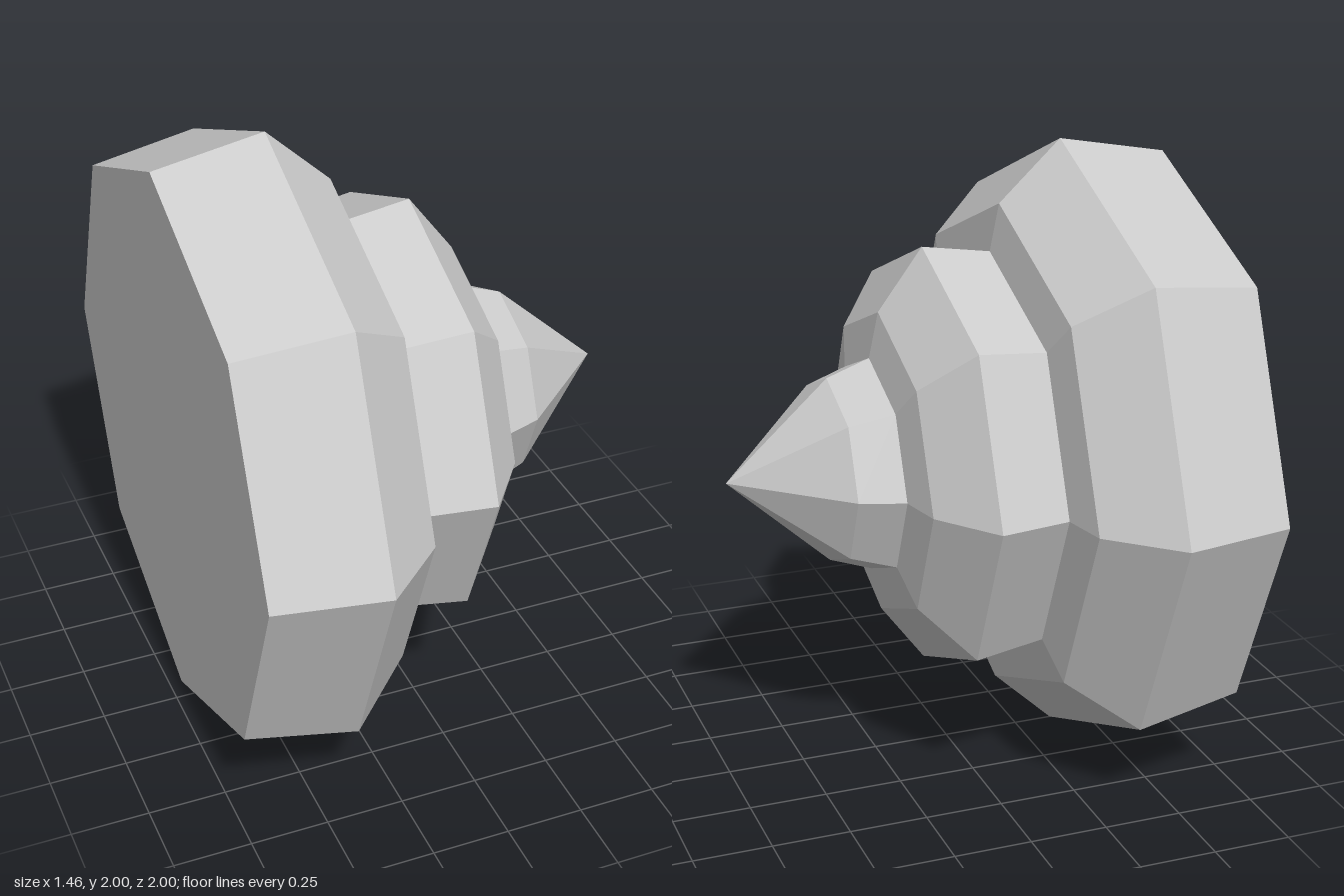
import * as THREE from 'three';

const SIDES = 8;

// Eight-sided faceted shell turned around the x axis; profile is [x, radius] pairs
function tier(name, profile, material) {
  const points = profile.map(([x, r]) => new THREE.Vector2(r, x));
  const geometry = new THREE.LatheGeometry(points, SIDES);
  geometry.rotateZ(-Math.PI / 2); // lathe axis y -> x
  const mesh = new THREE.Mesh(geometry, material);
  mesh.name = name;
  return mesh;
}

export function createModel() {
  const material = new THREE.MeshStandardMaterial({ color: 0xcccccc, flatShading: true });
  const group = new THREE.Group();
  group.name = 'steppedCone';

  // Wide base tier with its closed flat back
  group.add(tier('baseTier', [[-0.73, 0], [-0.73, 0.935], [-0.377, 1], [-0.175, 0.81], [-0.145, 0.66]], material));
  // Middle tier
  group.add(tier('middleTier', [[-0.145, 0.66], [0.08, 0.695], [0.225, 0.5], [0.256, 0.355]], material));
  // Pointed tip
  group.add(tier('tip', [[0.256, 0.355], [0.395, 0.305], [0.727, 0]], material));

  group.position.y = 1;
  const model = new THREE.Group();
  model.name = 'model';
  model.add(group);
  return model;
}
